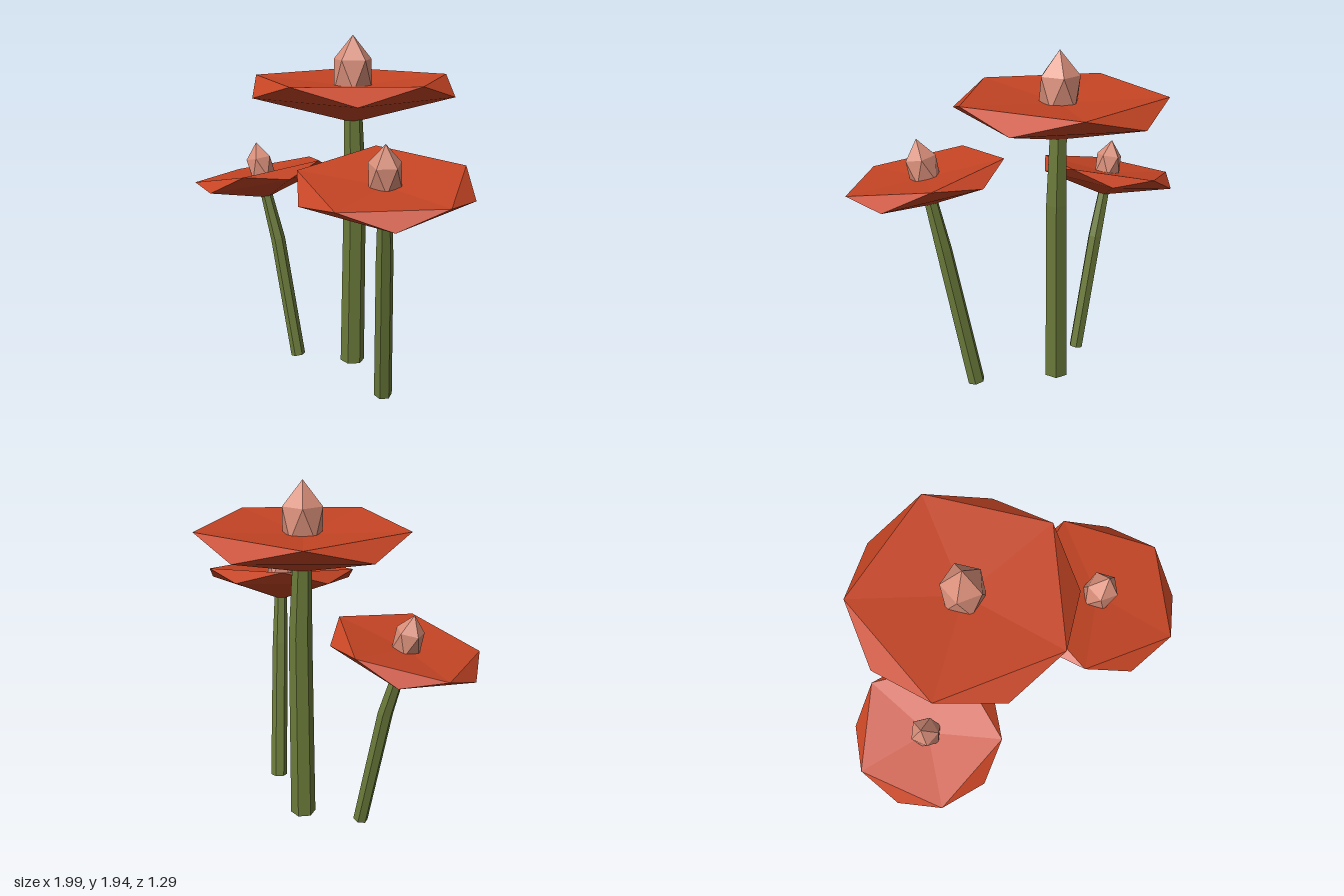
import * as THREE from 'three';

const flat = (name, color) => {
  const m = new THREE.MeshStandardMaterial({ color, flatShading: true });
  m.name = name;
  return m;
};

// Five-sided solid: an upper ring, a lower ring turned half a step, and two poles
function pentaSolid(radius, top, upper, lower, bottom, phase) {
  const step = (Math.PI * 2) / 5;
  const at = (i, y) => [radius * Math.cos(phase + i * step), y, radius * Math.sin(phase + i * step)];
  const pos = [];
  for (let i = 0; i < 5; i++) {
    const u0 = at(i, upper), u1 = at(i + 1, upper);
    const l0 = at(i + 0.5, lower), l1 = at(i + 1.5, lower);
    pos.push(
      0, top, 0, ...u1, ...u0,
      ...u0, ...u1, ...l0,
      ...l0, ...u1, ...l1,
      0, bottom, 0, ...l0, ...l1
    );
  }
  const g = new THREE.BufferGeometry();
  g.setAttribute('position', new THREE.Float32BufferAttribute(pos, 3));
  g.computeVertexNormals();
  return g;
}

// Six-sided stem whose three rows follow [x, y, z, radius] sections, bottom to top
function stemGeometry(sections) {
  const g = new THREE.CylinderGeometry(1, 1, 2, 6, 2, false, Math.PI / 6);
  const centres = sections.map(([x, y, z]) => new THREE.Vector3(x, y, z));
  const up = new THREE.Vector3(0, 1, 0);
  const turns = centres.map((c, i) => {
    const dir = centres[Math.min(i + 1, 2)].clone().sub(centres[Math.max(i - 1, 0)]).normalize();
    return new THREE.Quaternion().setFromUnitVectors(up, dir);
  });
  const p = g.attributes.position;
  const v = new THREE.Vector3();
  for (let k = 0; k < p.count; k++) {
    const row = Math.round(p.getY(k) + 1);
    const r = sections[row][3];
    v.set(p.getX(k) * r, 0, p.getZ(k) * r).applyQuaternion(turns[row]).add(centres[row]);
    p.setXYZ(k, v.x, v.y, v.z);
  }
  g.computeVertexNormals();
  return g;
}

export function createModel() {
  const model = new THREE.Group();
  model.name = 'flowers';
  const petalRed = flat('petalRed', 0xc44424);
  const stemGreen = flat('stemGreen', 0x6b7a3a);
  const budPink = flat('budPink', 0xd98f7a);

  const add = (parent, name, geometry, material) => {
    const mesh = new THREE.Mesh(geometry, material);
    mesh.name = name;
    parent.add(mesh);
  };

  // Rim centre, upward axis, size, turn of the rim, and stem sections
  const flowers = [
    {
      name: 'tallFlower', centre: [-0.1, 1.71, -0.1], axis: [0, 1, 0], size: 1, phase: 0,
      stem: [[-0.1, 0.02, -0.097, 0.071], [-0.086, 1.1, -0.104, 0.064], [-0.096, 1.49, -0.1, 0.052]],
    },
    {
      name: 'rightFlower', centre: [-0.61, 1.146, 0.19], axis: [-0.208, 1, 0.079], size: 0.69, phase: 3.32,
      stem: [[-0.365, 0.02, 0.115, 0.042], [-0.507, 0.73, 0.15, 0.042], [-0.58, 1.0, 0.178, 0.034]],
    },
    {
      name: 'leftFlower', centre: [0.555, 1.294, 0.22], axis: [0.15, 1, 0.12], size: 0.78, phase: -0.03,
      stem: [[0.355, 0.015, 0.048, 0.05], [0.482, 0.84, 0.155, 0.046], [0.53, 1.125, 0.197, 0.038]],
    },
  ];

  for (const f of flowers) {
    const flower = new THREE.Group();
    flower.name = f.name;
    add(flower, 'stem', stemGeometry(f.stem), stemGreen);

    // Shallow faceted dish with the bud in its middle
    const head = new THREE.Group();
    head.name = 'flowerHead';
    head.position.set(...f.centre);
    head.quaternion.setFromUnitVectors(new THREE.Vector3(0, 1, 0), new THREE.Vector3(...f.axis).normalize());
    head.scale.setScalar(f.size);
    add(head, 'petalDish', pentaSolid(0.574, -0.05, 0, -0.09, -0.25, f.phase), petalRed);
    add(head, 'bud', pentaSolid(0.11, 0.232, 0.1, -0.065, -0.1, f.phase), budPink);
    flower.add(head);
    model.add(flower);
  }
  return model;
}
